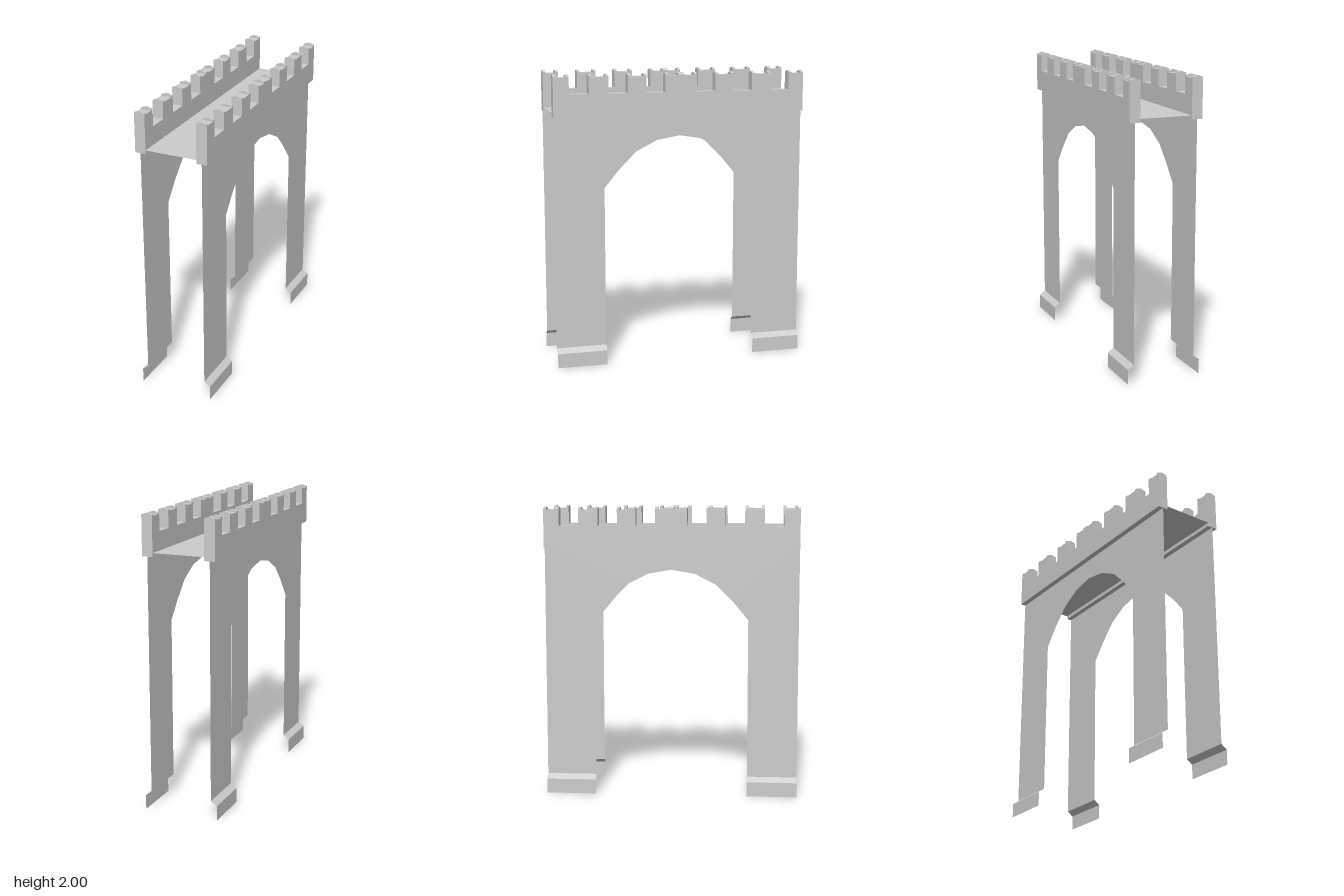
import * as THREE from 'three';

const HALF = 0.872;      // half length along z
const LEG = 0.527;       // half width of the archway
const THICK = 0.074;     // parapet thickness
const BASE = 1.72;       // underside of the parapets
const TOP = 1.98;        // flat top of the merlons
const material = new THREE.MeshStandardMaterial({ color: 0xcccccc, flatShading: true, side: THREE.DoubleSide });

function part(name, geometry) {
  const mesh = new THREE.Mesh(geometry, material);
  mesh.name = name;
  return mesh;
}

function shapeOf(points) {
  return new THREE.Shape(points.map(([u, v]) => new THREE.Vector2(u, v)));
}

// Extrusion of an outline, centred on its depth
function slab(points, depth) {
  return new THREE.ExtrudeGeometry(shapeOf(points), { depth, bevelEnabled: false }).translate(0, 0, -depth / 2);
}

// Thin strip following an (x, y) profile, running from z1 to z2
function strip(profile, z1, z2) {
  const pos = [];
  for (let i = 0; i < profile.length - 1; i++) {
    const [a, b] = [profile[i], profile[i + 1]];
    pos.push(...a, z2, ...a, z1, ...b, z1, ...a, z2, ...b, z1, ...b, z2);
  }
  const g = new THREE.BufferGeometry();
  g.setAttribute('position', new THREE.Float32BufferAttribute(pos, 3));
  g.computeVertexNormals();
  return g;
}

// Merlon spans along z, from one end to the other
const halfMerlons = [[0.241, 0.368], [0.5, 0.633], [0.766, HALF]];
const merlons = [
  ...halfMerlons.map(([a, b]) => [-b, -a]).reverse(),
  [-0.109, 0.109],
  ...halfMerlons,
];

function createParapet() {
  const group = new THREE.Group();
  // Battlemented body
  const outline = [[HALF, BASE], [-HALF, BASE]];
  merlons.forEach(([a, b], i) => {
    if (i > 0) outline.push([a, 1.87]);
    outline.push([a, TOP], [b, TOP]);
    if (i < merlons.length - 1) outline.push([b, 1.87]);
  });
  group.add(part('battlements', slab(outline, THICK).rotateY(-Math.PI / 2)));

  // Small gabled ridges across the ends of each merlon, and a wide one in the middle
  const w = THICK / 2;
  const gable = [[-w, TOP], [w, TOP], [w, 1.988], [0, 2], [-w, 1.988]];
  const addRidge = (z, width) => group.add(part('merlonRidge', slab(gable, width).translate(0, 0, z)));
  for (const [a, b] of merlons) {
    addRidge(a + 0.01, 0.02);
    addRidge(b - 0.01, 0.02);
  }
  addRidge(0, 0.04);
  return group;
}

// Thin wall with a faceted arch
function createWallGeometry(side) {
  const arch = [[LEG, 1.23], [0.425, 1.352], [0.307, 1.47], [0.159, 1.545]];
  const points = [
    [-HALF, 0.13], [-LEG, 0.13],
    ...arch.map(([z, y]) => [-z, y]), [0, 1.572], ...arch.slice().reverse(),
    [LEG, 0.13], [HALF, 0.13], [HALF, BASE], [-HALF, BASE],
  ];
  return new THREE.ShapeGeometry(shapeOf(points)).rotateY(side * Math.PI / 2);
}

export function createModel() {
  const model = new THREE.Group();
  model.name = 'archedGateway';
  for (const side of [1, -1]) {
    const name = side > 0 ? 'left' : 'right';
    const x = side > 0 ? 0.212 : -0.218;

    const parapet = createParapet();
    parapet.name = name + 'Parapet';
    parapet.position.x = x;
    model.add(parapet);

    const wall = part(name + 'ArchWall', createWallGeometry(side));
    wall.position.x = x;
    model.add(wall);

    // Flared skirting at the foot of each pier
    for (const end of [1, -1]) {
      const out = x + side * 0.042;
      const zs = [end * LEG, end * HALF].sort((a, b) => a - b);
      if (side < 0) zs.reverse();
      model.add(part(name + 'PierSkirting', strip([[out, 0], [out, 0.1], [x, 0.13]], ...zs)));
    }
  }

  // Walkway between the parapets
  const deck = part('walkway', new THREE.PlaneGeometry(0.356, HALF * 2).rotateX(-Math.PI / 2));
  deck.position.set(-0.003, 1.745, 0);
  model.add(deck);
  return model;
}
